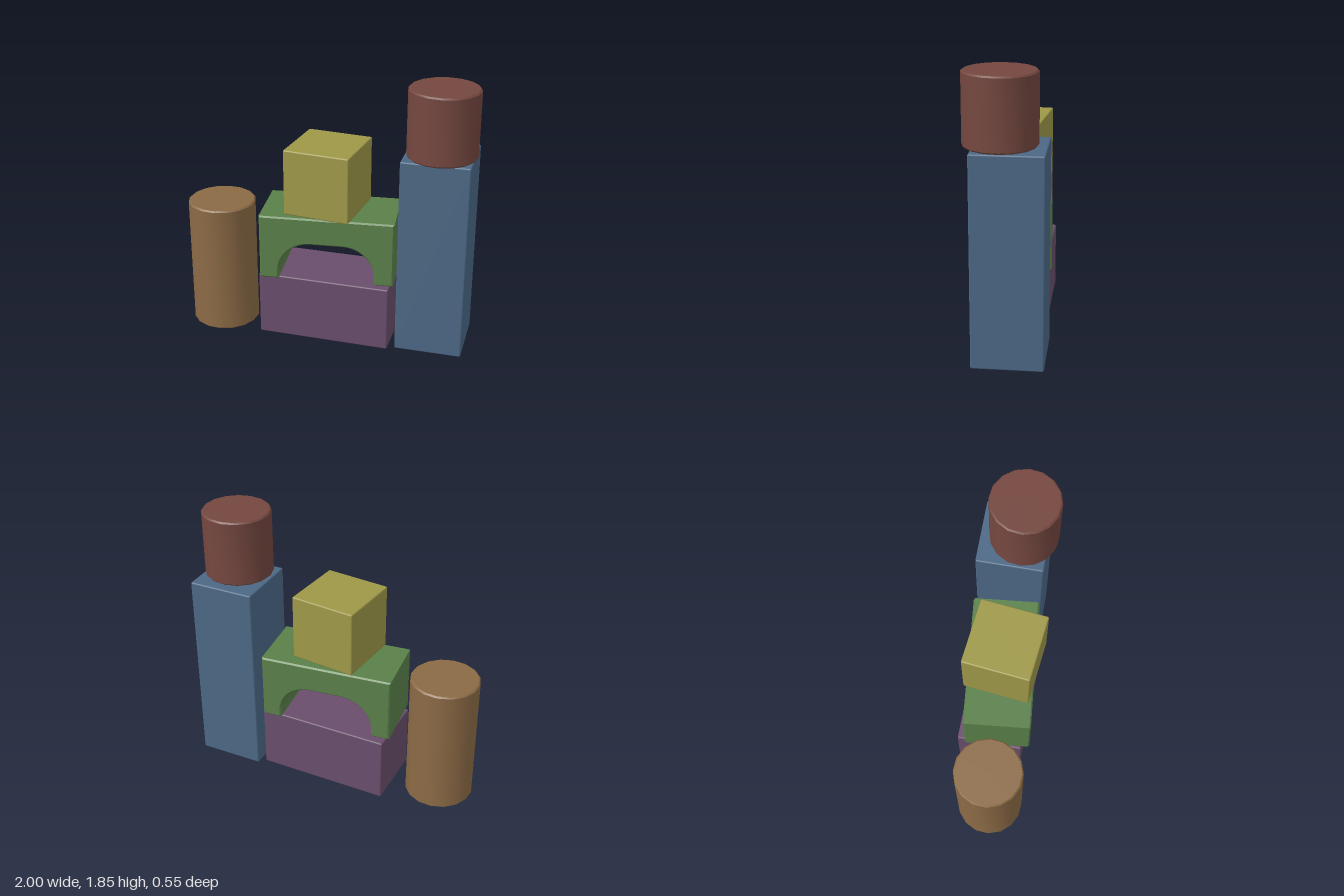
import * as THREE from 'three';
import { toCreasedNormals } from 'three/addons/utils/BufferGeometryUtils.js';
import { RoundedBoxGeometry } from 'three/addons/geometries/RoundedBoxGeometry.js';

const BEVEL = 0.01;
const SIZE = 0.46; // basic block unit

// Upright cylinder with chamfered rims, standing on y = 0
function cylinderBlock(radius, height) {
  const profile = [
    [0, 0], [radius - BEVEL, 0], [radius, BEVEL],
    [radius, height - BEVEL], [radius - BEVEL, height], [0, height],
  ].map(([x, y]) => new THREE.Vector2(x, y));
  return toCreasedNormals(new THREE.LatheGeometry(profile, 16), 0.5);
}

// Box with softened edges, standing on y = 0
function boxBlock(width, height, depth) {
  return new RoundedBoxGeometry(width, height, depth, 2, BEVEL).translate(0, height / 2, 0);
}

// Bridge block with a round-cornered opening, standing on y = 0
function archBlock(width, height, depth) {
  const w = width / 2 - BEVEL, top = height - BEVEL;
  const open = 0.33 + BEVEL, rise = 0.27 + BEVEL, r = 0.23;
  const shape = new THREE.Shape();
  shape.moveTo(-w, BEVEL);
  shape.lineTo(-open, BEVEL);
  shape.lineTo(-open, rise - r);
  shape.absarc(-open + r, rise - r, r, Math.PI, Math.PI / 2, true);
  shape.absarc(open - r, rise - r, r, Math.PI / 2, 0, true);
  shape.lineTo(open, BEVEL);
  shape.lineTo(w, BEVEL);
  shape.lineTo(w, top);
  shape.lineTo(-w, top);
  shape.closePath();
  const geometry = new THREE.ExtrudeGeometry(shape, {
    depth: depth - 2 * BEVEL, curveSegments: 8,
    bevelEnabled: true, bevelThickness: BEVEL, bevelSize: BEVEL, bevelSegments: 1,
  });
  geometry.translate(0, 0, -depth / 2 + BEVEL);
  return toCreasedNormals(geometry, 0.5);
}

export function createModel() {
  const group = new THREE.Group();
  group.name = 'toyBlocks';

  // Position is the centre of each block's underside; turn is about the vertical
  const add = (name, geometry, color, [x, y, z], turn) => {
    const mesh = new THREE.Mesh(geometry, new THREE.MeshStandardMaterial({ color }));
    mesh.name = name;
    mesh.position.set(x, y, z);
    mesh.rotation.y = turn;
    group.add(mesh);
  };

  // Free-standing column
  add('tallCylinder', cylinderBlock(0.235, 0.92), 0x8b6a45, [-0.765, 0.01, 0.02], 0.1);

  // Middle stack
  add('baseBlock', boxBlock(2 * SIZE, SIZE, SIZE), 0x694d6b, [0.015, 0.01, -0.015], -0.035);
  add('archBlock', archBlock(2 * SIZE, SIZE, SIZE), 0x5a8049, [0.014, 0.475, -0.01], 0.079);
  add('cubeBlock', boxBlock(SIZE, SIZE, SIZE), 0x9e9848, [-0.002, 0.947, 0.016], -0.132);

  // Tower with a cylinder on top
  add('towerBlock', boxBlock(SIZE, 1.385, SIZE), 0x4c6885, [0.748, 0.005, -0.032], -0.022);
  add('shortCylinder', cylinderBlock(0.235, SIZE), 0x74473f, [0.762, 1.395, 0.028], 0.05);

  return group;
}
